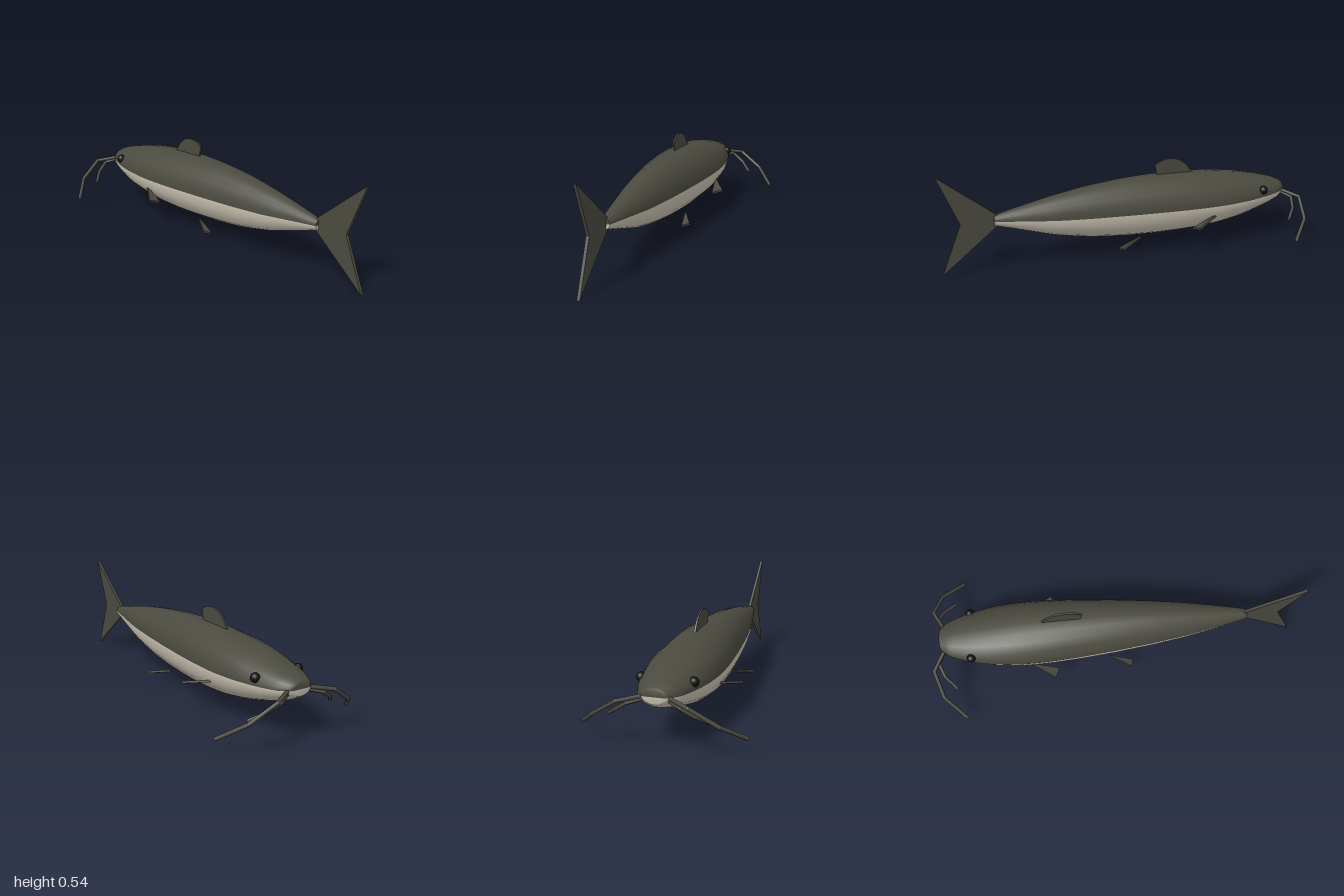
import * as THREE from 'three';

const mat = (name, color, side = THREE.FrontSide) =>
  Object.assign(new THREE.MeshStandardMaterial({ color, side }), { name });

// Lofted elliptical rings [z, centreY, radiusX, radiusY]; group 0 is the upper half, group 1 the lower
function loft(rings, sides = 20) {
  const pos = [], upper = [], lower = [];
  for (const [z, cy, rx, ry] of rings)
    for (let j = 0; j < sides; j++) {
      const a = (j / sides) * Math.PI * 2;
      pos.push(Math.cos(a) * rx, cy + Math.sin(a) * ry, z);
    }
  for (let i = 0; i < rings.length - 1; i++)
    for (let j = 0; j < sides; j++) {
      const k = (j + 1) % sides;
      const a = i * sides + j, b = i * sides + k, c = a + sides, d = b + sides;
      (j < sides / 2 ? upper : lower).push(a, b, c, b, d, c);
    }
  const g = new THREE.BufferGeometry();
  g.setAttribute('position', new THREE.Float32BufferAttribute(pos, 3));
  g.setIndex([...upper, ...lower]);
  g.addGroup(0, upper.length, 0);
  g.addGroup(upper.length, lower.length, 1);
  g.computeVertexNormals();
  return g;
}

// Thin triangular slab around three corner points
function triSlab(points, thickness) {
  const p = points.map(q => new THREE.Vector3(...q));
  const n = new THREE.Triangle(...p).getNormal(new THREE.Vector3()).multiplyScalar(thickness / 2);
  const t = p.map(v => v.clone().add(n)), b = p.map(v => v.clone().sub(n));
  const tris = [t[0], t[1], t[2], b[0], b[2], b[1]];
  for (let i = 0; i < 3; i++) {
    const k = (i + 1) % 3;
    tris.push(b[i], b[k], t[k], b[i], t[k], t[i]);
  }
  const g = new THREE.BufferGeometry().setFromPoints(tris);
  g.computeVertexNormals();
  return g;
}

// Upright fin: a (z, y) outline given thickness across x
function uprightFin(shape, thickness) {
  const g = new THREE.ExtrudeGeometry(shape, { depth: thickness, bevelEnabled: false, curveSegments: 10 });
  g.translate(0, 0, -thickness / 2);
  g.rotateY(-Math.PI / 2);
  return g;
}

export function createModel() {
  const model = new THREE.Group();
  const skin = mat('dark skin', 0x4a4a40);
  const belly = mat('pale belly', 0xc8c0b0);
  const eyeMat = mat('black eye', 0x111111);
  const add = (name, geometry, material, parent = model) => {
    const m = new THREE.Mesh(geometry, material);
    m.name = name;
    parent.add(m);
    return m;
  };

  // Body: z, top, bottom, half width from nose to tail
  const profile = [
    [-0.95, 0.297, 0.225, 0.06], [-0.9, 0.319, 0.196, 0.1], [-0.8, 0.346, 0.161, 0.135],
    [-0.65, 0.378, 0.122, 0.165], [-0.5, 0.398, 0.097, 0.175], [-0.35, 0.409, 0.086, 0.172],
    [-0.2, 0.413, 0.083, 0.162], [0, 0.408, 0.09, 0.143], [0.2, 0.391, 0.109, 0.119],
    [0.4, 0.361, 0.146, 0.09], [0.6, 0.321, 0.205, 0.052], [0.72, 0.295, 0.24, 0.027],
  ];
  const sizes = new THREE.CatmullRomCurve3(profile.map(([, t, b, w]) => new THREE.Vector3(t, b, w)));
  const places = new THREE.CatmullRomCurve3(profile.map(([z]) => new THREE.Vector3(z, 0, 0)));
  const rings = [[-0.955, 0.262, 0, 0], [-0.955, 0.262, 0.045, 0.028]];
  for (let i = 0; i <= 44; i++) {
    const s = sizes.getPoint(i / 44), z = places.getPoint(i / 44).x;
    rings.push([z, (s.x + s.y) / 2, s.z, (s.x - s.y) / 2]);
  }
  add('body', loft(rings), [skin, belly]);
  const end = rings[rings.length - 1];
  add('tailStump', loft([end, [end[0], end[1], 0, 0]]), [skin, belly]);

  // Forked tail fin
  const tail = new THREE.Shape([[0.7, 0.295], [0.7, 0.24], [1, 0], [0.893, 0.268], [1, 0.535]]
    .map(p => new THREE.Vector2(...p)));
  add('tailFin', uprightFin(tail, 0.016), skin);

  // Rounded dorsal fin
  const dorsal = new THREE.Shape();
  dorsal.moveTo(-0.4, 0.39);
  dorsal.lineTo(-0.385, 0.415);
  dorsal.bezierCurveTo(-0.335, 0.5, -0.25, 0.52, -0.172, 0.467);
  dorsal.lineTo(-0.19, 0.39);
  add('dorsalFin', uprightFin(dorsal, 0.01), skin);

  // Whisker made of straight round segments with ball joints
  const whisker = (name, points, radius) => {
    const group = new THREE.Group();
    group.name = name;
    const p = points.map(q => new THREE.Vector3(...q));
    for (let i = 0; i < p.length - 1; i++) {
      const dir = p[i + 1].clone().sub(p[i]);
      const m = add('whiskerSegment', new THREE.CylinderGeometry(radius, radius, dir.length(), 8), skin, group);
      m.position.copy(p[i]).addScaledVector(dir, 0.5);
      m.quaternion.setFromUnitVectors(new THREE.Vector3(0, 1, 0), dir.normalize());
      if (i > 0) add('whiskerJoint', new THREE.SphereGeometry(radius, 8, 6), skin, group).position.copy(p[i]);
    }
    model.add(group);
  };

  // Paired parts
  for (const [side, s] of [['left', 1], ['right', -1]]) {
    const flip = points => points.map(([x, y, z]) => [x * s, y, z]);
    add(side + 'Eye', new THREE.SphereGeometry(0.024, 16, 12), eyeMat).position.set(0.128 * s, 0.29, -0.782);
    add(side + 'PectoralFin',
      triSlab(flip([[0.155, 0.19, -0.48], [0.24, 0.16, -0.345], [0.182, 0.143, -0.325]]), 0.012), skin);
    add(side + 'PelvicFin',
      triSlab(flip([[0.123, 0.113, -0.045], [0.19, 0.084, 0.075], [0.148, 0.072, 0.087]]), 0.012), skin);
    whisker(side + 'LongWhisker',
      flip([[0.05, 0.258, -0.925], [0.168, 0.24, -0.99], [0.295, 0.157, -0.955], [0.396, 0.073, -0.846]]), 0.01);
    whisker(side + 'ShortWhisker',
      flip([[0.05, 0.245, -0.925], [0.125, 0.227, -0.966], [0.187, 0.186, -0.943], [0.247, 0.14, -0.885]]), 0.009);
  }
  return model;
}
